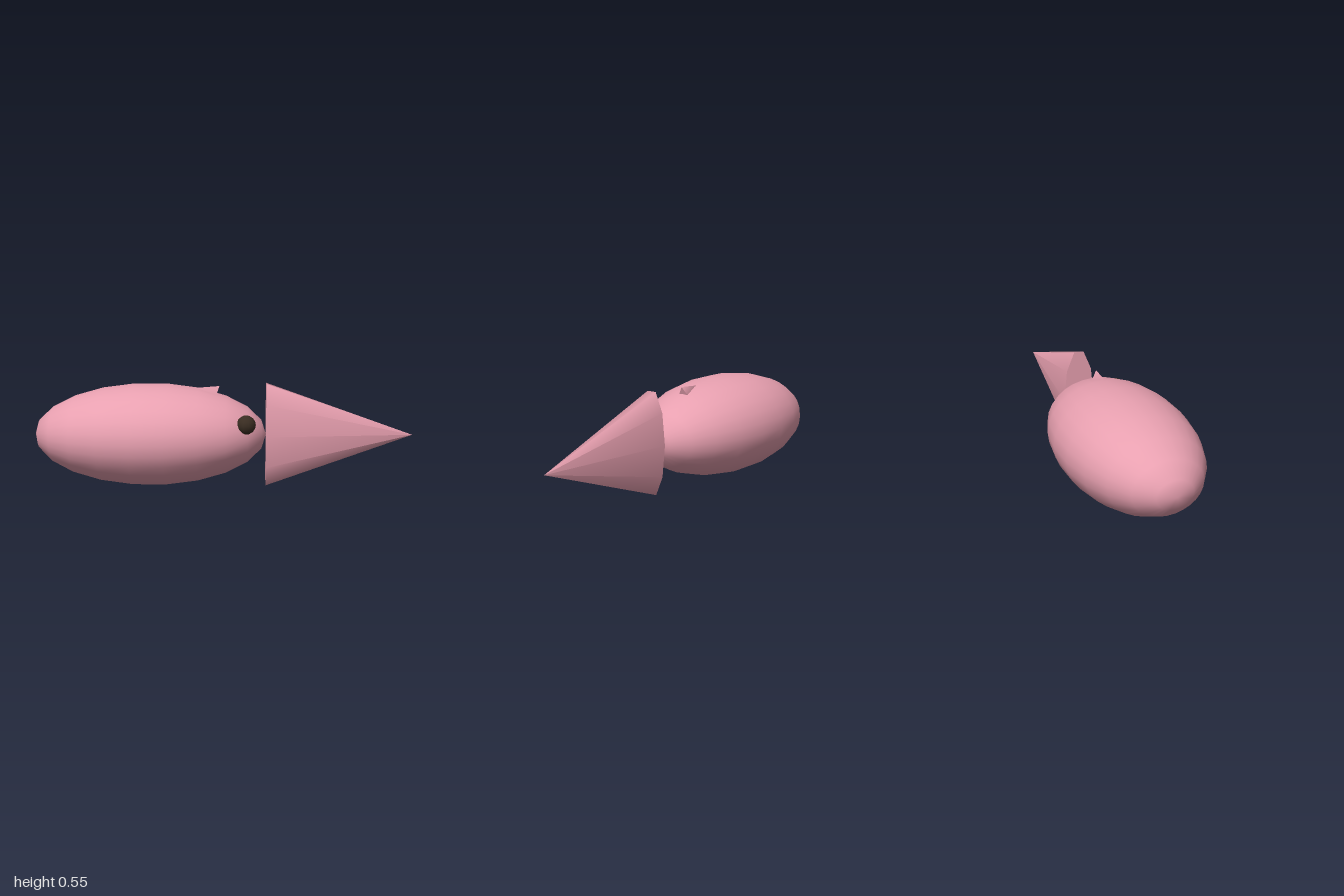
import * as THREE from 'three';

export function createModel() {
  const model = new THREE.Group();
  const pink = new THREE.MeshStandardMaterial({ color: 0xe8a0b0 });
  const dark = new THREE.MeshStandardMaterial({ color: 0x3a2d22 });

  const add = (name, geometry, material, x, y, z) => {
    const mesh = new THREE.Mesh(geometry, material);
    mesh.name = name;
    mesh.position.set(x, y, z);
    model.add(mesh);
    return mesh;
  };

  // Cone lying along x with its tip towards +x, flattened sideways
  const flatCone = (radius, length, sides, flatten) =>
    new THREE.ConeGeometry(radius, length, sides).rotateZ(-Math.PI / 2).scale(1, 1, flatten);

  // Plump body with its poles on the x axis
  const bodyShape = new THREE.SphereGeometry(1, 28, 11).rotateZ(Math.PI / 2).scale(0.613, 0.268, 0.343);
  add('body', bodyShape, pink, -0.387, 0.275, 0);

  // Broad flat cone behind the body
  add('tail', flatCone(0.287, 0.775, 10, 0.3), pink, 0.6125, 0.274, 0);

  // Small back fin, sunk into the body with its tip leaning up
  const fin = add('backFin', flatCone(0.08, 0.17, 4, 0.6), pink, -0.128, 0.487, 0);
  fin.rotation.z = Math.PI - 0.357;

  // Single eye on the front side
  add('eye', new THREE.SphereGeometry(0.05, 10, 8), dark, 0.12, 0.356, 0.17);

  return model;
}
